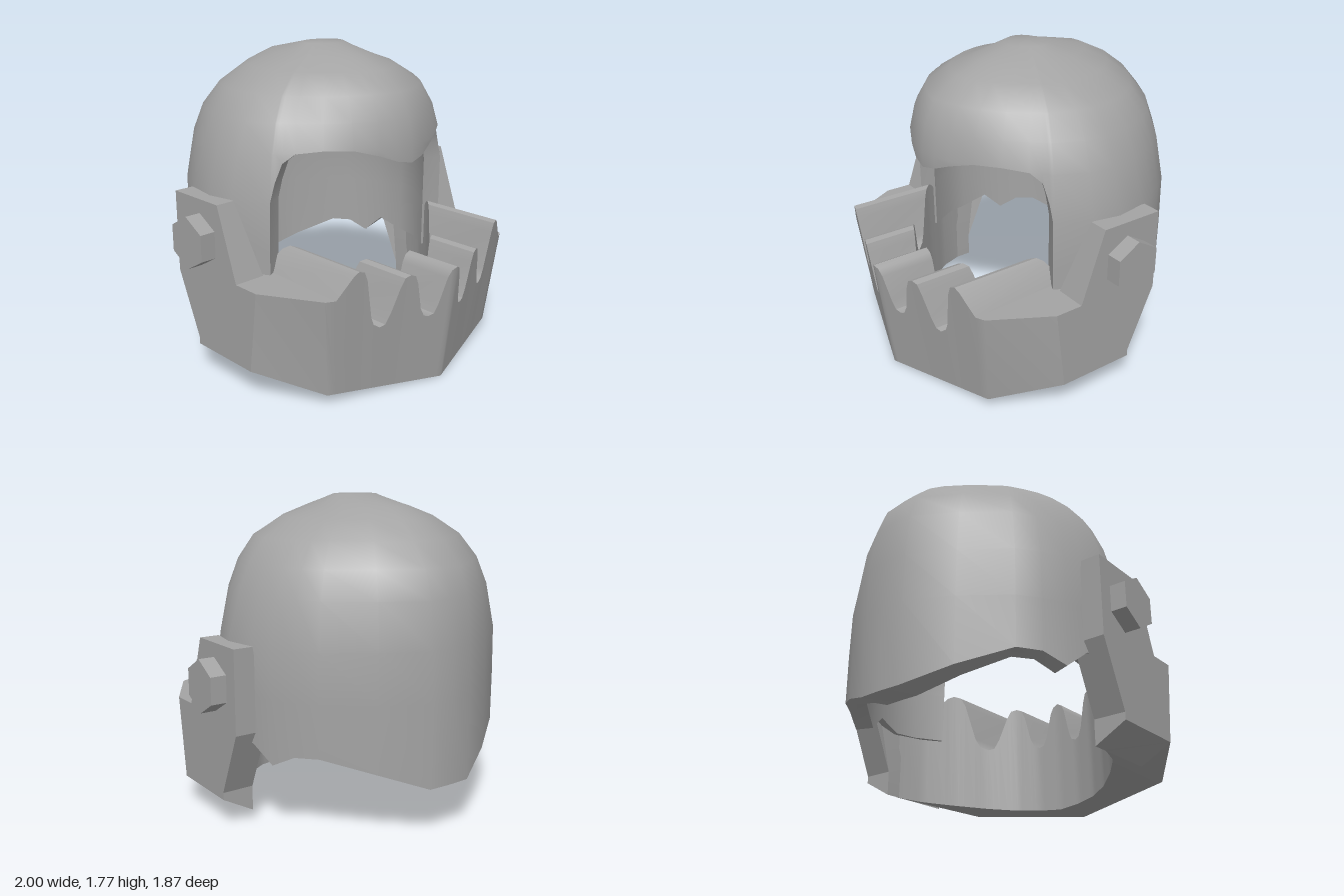
import * as THREE from 'three';
import { toCreasedNormals } from 'three/addons/utils/BufferGeometryUtils.js';

// Skins a list of equal-length sections; skips collapsed triangles
function loft(sections, closeRing, closeLoop, crease) {
  const pos = [];
  const n = sections.length, m = sections[0].length;
  const tri = (...pts) => {
    const [a, b, c] = pts.map(p => new THREE.Vector3(...p));
    if (b.clone().sub(a).cross(c.clone().sub(a)).length() < 1e-7) return;
    for (const p of pts) pos.push(...p);
  };
  for (let i = 0; i < (closeRing ? n : n - 1); i++) {
    const A = sections[i], B = sections[(i + 1) % n];
    for (let j = 0; j < (closeLoop ? m : m - 1); j++) {
      const k = (j + 1) % m;
      tri(A[j], A[k], B[k]);
      tri(A[j], B[k], B[j]);
    }
  }
  const g = new THREE.BufferGeometry();
  g.setAttribute('position', new THREE.Float32BufferAttribute(pos, 3));
  return toCreasedNormals(g, crease);
}

// Dome profile: height, then radius factor toward front, side and back
const ROWS = [
  [1.77, 0, 0, 0], [1.769, 0.19, 0.16, 0.12], [1.71, 0.47, 0.28, 0.45],
  [1.65, 0.67, 0.51, 0.6], [1.55, 0.87, 0.72, 0.76], [1.42, 0.96, 0.84, 0.895],
  [1.27, 1, 0.92, 0.96], [1.02, 1, 1, 0.99], [0.75, 1, 1, 1], [0.2, 1, 1, 0.99],
];
// Half outline of the dome: x, z, rim height, wall thickness
const OUTLINE = [
  [0, 0.6, 1.18, 0.05], [0.1, 0.585, 1.2, 0.05], [0.2, 0.555, 1.24, 0.06],
  [0.34, 0.5, 1.28, 0.07], [0.48, 0.42, 1.285, 0.08], [0.6, 0.32, 1.27, 0.1],
  [0.65, 0.27, 1.22, 0.11], [0.68, 0.25, 1.12, 0.11], [0.694, 0.238, 1.02, 0.11],
  [0.7, 0.23, 0.45, 0.11], [0.8, 0.05, 0.45, 0.11], [0.83, -0.1, 0.45, 0.11],
  [0.8, -0.28, 0.5, 0.11], [0.755, -0.4, 0.4, 0.11], [0.69, -0.51, 0.46, 0.11],
  [0.61, -0.62, 0.465, 0.12], [0.37, -0.8, 0.38, 0.14], [0.13, -0.935, 0.29, 0.16],
];
const CZ = -0.1;

function radiusFactor(y, wz, front) {
  let i = 0;
  while (i < ROWS.length - 2 && y < ROWS[i + 1][0]) i++;
  const a = ROWS[i], b = ROWS[i + 1];
  const t = THREE.MathUtils.clamp((a[0] - y) / (a[0] - b[0]), 0, 1);
  const at = k => a[k] + (b[k] - a[k]) * t;
  return at(front ? 1 : 3) * wz + at(2) * (1 - wz);
}

function domeGeometry() {
  const back = [0, -0.94, 0.29, 0.16];
  const mirrored = OUTLINE.slice(1).reverse().map(([x, ...r]) => [-x, ...r]);
  const sections = [...OUTLINE, back, ...mirrored].map(([x, z, rim, t]) => {
    const dz = z - CZ, R = Math.hypot(x, dz), wz = (dz * dz) / (R * R);
    const ys = ROWS.map(r => Math.max(r[0], rim));
    const point = (y, inner) => {
      const f = radiusFactor(y, wz, dz > 0) * (inner ? 1 - t / R : 1);
      const h = inner && y > 1.2 ? 1.2 + (y - 1.2) * 0.87 : y;
      return [x * f, h, CZ + dz * f];
    };
    return [...ys.map(y => point(y, false)), ...ys.reverse().map(y => point(y, true))];
  });
  return loft(sections, true, false, 0.75);
}

// Half profile of the toothed upper edge: x, height
const TEETH = [
  [0, 0.677], [0.03, 0.66], [0.05, 0.62], [0.085, 0.47], [0.105, 0.42], [0.135, 0.41],
  [0.165, 0.42], [0.19, 0.47], [0.225, 0.62], [0.245, 0.67], [0.275, 0.682],
  [0.305, 0.67], [0.325, 0.62], [0.365, 0.48], [0.39, 0.42], [0.42, 0.41],
  [0.455, 0.43], [0.475, 0.48], [0.52, 0.7], [0.54, 0.75], [0.57, 0.76],
  [0.595, 0.74], [0.68, 0.62],
];

function jawGeometry() {
  // Inner wall curve, z as a function of x
  const inner = [[0, 0.6], [0.14, 0.585], [0.28, 0.53], [0.42, 0.42], [0.57, 0.25], [0.68, 0.1]];
  const innerZ = x => {
    let i = 0;
    while (i < inner.length - 2 && x > inner[i + 1][0]) i++;
    const [a, b] = [inner[i], inner[i + 1]];
    return a[1] + (b[1] - a[1]) * (x - a[0]) / (b[0] - a[0]);
  };
  const half = TEETH.map(([x, y]) => {
    const bx = x * 0.92, ix = Math.min(x, 0.66), iz = innerZ(ix);
    return [
      [x, y, 0.85 - 0.313 * x + 0.125 * y], [bx, 0.09 * bx, 0.85 - 0.313 * bx],
      [ix, 0.08 * ix, iz], [ix, y, iz],
    ];
  });
  half.push([[0.73, 0.62, 0.69], [0.67, 0.06, 0.64], [0.69, 0.056, 0.08], [0.69, 0.62, 0.08]]);
  half.push([[0.91, 0.62, 0.37], [0.91, 0.16, 0.31], [0.735, 0.06, -0.06], [0.735, 0.62, -0.06]]);
  const mirror = half.slice(1).reverse().map(s => s.map(([x, y, z]) => [-x, y, z]));
  return loft([...mirror, ...half], false, true, 0.7);
}

// Hinge arm: extruded side plate whose inner face follows the dome
function armGeometry(side) {
  const outline = [[0.37, 0.62], [0.21, 0.62], [0.07, 1.02], [-0.3, 1.02],
    [-0.3, 0.56], [-0.14, 0.2], [-0.14, 0.16], [0.31, 0.16]];
  const shape = new THREE.Shape(outline.map(([z, y]) => new THREE.Vector2(-z, y)));
  const g = new THREE.ExtrudeGeometry(shape, { depth: 0.18, bevelEnabled: false });
  g.rotateY(Math.PI / 2).translate(side > 0 ? 0.73 : -0.91, 0, 0);
  const p = g.attributes.position;
  for (let i = 0; i < p.count; i++) {
    if (Math.abs(p.getX(i)) > 0.8) continue;
    const y = p.getY(i);
    p.setX(i, side * (0.73 + Math.max(0, y - 0.62) * 0.175));
    if (y < 0.17) p.setY(i, 0.06);
  }
  return toCreasedNormals(g, 0.3);
}

export function createModel() {
  const model = new THREE.Group();
  model.name = 'helmet';
  const metal = new THREE.MeshStandardMaterial({ color: 0xa3a3a3 });
  metal.name = 'grey metal';
  const add = (name, geometry) => {
    const mesh = new THREE.Mesh(geometry, metal);
    mesh.name = name;
    model.add(mesh);
  };

  add('dome', domeGeometry());
  add('toothedJaw', jawGeometry());
  for (const side of [1, -1]) {
    const label = side > 0 ? 'left' : 'right';
    add(label + 'HingeArm', armGeometry(side));
    // Hexagonal bolt head with a corner pointing up
    const bolt = new THREE.CylinderGeometry(0.147, 0.147, 0.11, 6);
    bolt.rotateY(Math.PI / 6).rotateZ(Math.PI / 2).translate(side * 0.945, 0.795, -0.085);
    add(label + 'Bolt', toCreasedNormals(bolt, 0.3));
  }
  return model;
}
